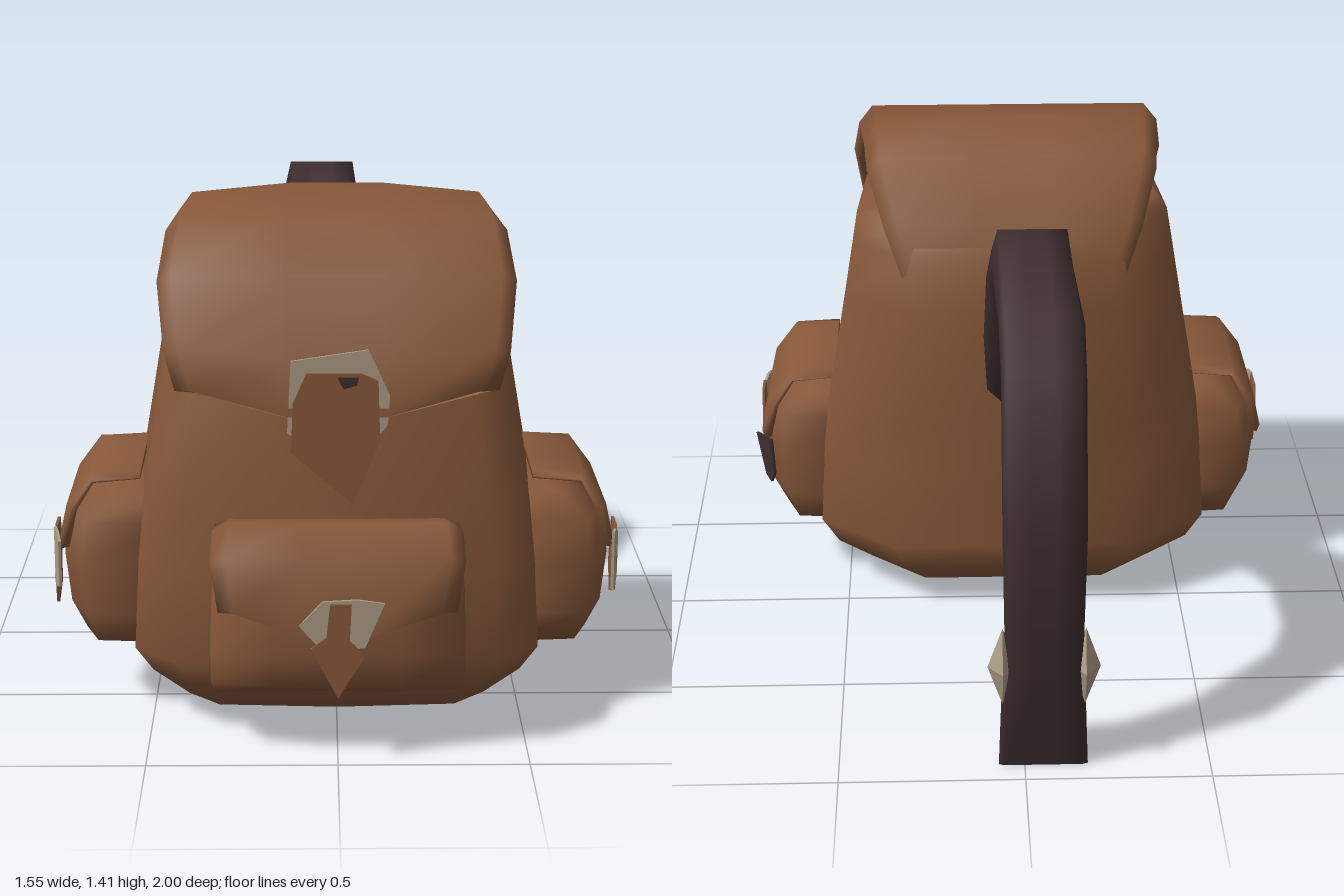
import * as THREE from 'three';

const mat = (name, color) => {
  const m = new THREE.MeshStandardMaterial({ color, side: THREE.DoubleSide });
  m.name = name;
  return m;
};

// Closed skin through rings of [x, y, z] points, with a fan at each end
function loft(rings) {
  const n = rings[0].length, pos = rings.flat(), idx = [];
  const mean = r => [0, 1, 2].map(k => r.reduce((s, p) => s + p[k], 0) / n);
  const last = rings.length - 1, c0 = pos.length, c1 = c0 + 1;
  const all = [...pos, mean(rings[0]), mean(rings[last])];
  for (let j = 0; j < n; j++) {
    const k = (j + 1) % n;
    for (let i = 0; i < last; i++) {
      const a = i * n + j, b = i * n + k;
      idx.push(a, b, b + n, a, b + n, a + n);
    }
    idx.push(c0, k, j, c1, last * n + j, last * n + k);
  }
  const g = new THREE.BufferGeometry();
  g.setAttribute('position', new THREE.Float32BufferAttribute(all.flat(), 3));
  g.setIndex(idx);
  g.computeVertexNormals();
  return g;
}

// Band swept along a side profile; stations give the outer line
function band(stations) {
  return loft(stations.map((s, i) => {
    const a = stations[Math.max(i - 1, 0)], b = stations[Math.min(i + 1, stations.length - 1)];
    const l = Math.hypot(b.z - a.z, b.y - a.y), tz = (b.z - a.z) / l, ty = (b.y - a.y) / l;
    const { w, t, cx = 0, sag = 0, crown = 0, bevel = 0.04 } = s;
    const pt = (x, depth, drop) => [cx + x, s.y - tz * depth + ty * drop, s.z + ty * depth + tz * drop];
    return [
      pt(w - bevel, 0, 0), pt(w * 0.3, -crown, sag), pt(-w * 0.3, -crown, sag), pt(bevel - w, 0, 0),
      pt(-w, t * 0.5, 0), pt(0.02 - w, t, 0), pt(-w * 0.3, t, sag), pt(w * 0.3, t, sag),
      pt(w - 0.02, t, 0), pt(w, t * 0.5, 0),
    ];
  }));
}

// Pouch standing out from a wall at local z = 0; rows are [y, half width, depth]
const pouch = rows => loft(rows.map(([y, w, d]) => [
  [-w - 0.02, y, -0.1], [-w, y, d * 0.75], [-w * 0.5, y, d], [w * 0.5, y, d], [w, y, d * 0.75], [w + 0.02, y, -0.1],
]));

// Thin flat plate
const plate = pts => new THREE.ExtrudeGeometry(
  new THREE.Shape(pts.map(p => new THREE.Vector2(...p))), { depth: 0.008, bevelEnabled: false });

export function createModel() {
  const root = new THREE.Group();
  root.name = 'backpack';
  const leather = mat('brown leather', 0x87583a);
  const dark = mat('dark strap', 0x3d2c2e);
  const metal = mat('pale buckle', 0xab9c85);
  const add = (name, geo, m, parent = root, p = [0, 0, 0], r = [0, 0, 0]) => {
    const mesh = new THREE.Mesh(geo, m);
    mesh.name = name;
    mesh.position.set(...p);
    mesh.rotation.set(...r);
    parent.add(mesh);
    return mesh;
  };

  // Main sack: [y, half width, back z, front z]
  const sack = [
    [0.008, 0.16, 0.12, 0.3], [0.045, 0.43, 0.04, 0.71], [0.13, 0.53, -0.05, 0.78],
    [0.2, 0.58, -0.05, 0.8], [0.45, 0.565, -0.05, 0.81], [0.6, 0.55, -0.05, 0.79],
    [0.95, 0.49, -0.05, 0.765], [1.1, 0.465, -0.015, 0.7], [1.19, 0.45, 0.03, 0.65], [1.23, 0.41, 0.1, 0.6],
  ];
  add('body', loft(sack.map(([y, w, b, f]) => {
    const d = f - b, zf = f - d * 0.16, zb = b + d * 0.22;
    return [[-w * 0.74, f - 0.02], [0, f], [w * 0.74, f - 0.02], [w * 0.94, zf], [w, zb],
      [w * 0.62, b], [0, b], [-w * 0.62, b], [-w, zb], [-w * 0.94, zf]].map(([x, z]) => [x, y, z]);
  })), leather);

  // Lid arching over the sack, flush at the back, hanging down the front
  add('lid', band([
    { z: -0.04, y: 0.96, w: 0.29, t: 0.02 },
    { z: 0.015, y: 1.19, w: 0.37, t: 0.06 },
    { z: 0.16, y: 1.355, w: 0.42, t: 0.13 },
    { z: 0.33, y: 1.39, w: 0.43, t: 0.11, crown: 0.025 },
    { z: 0.58, y: 1.375, w: 0.45, t: 0.1 },
    { z: 0.7, y: 1.24, w: 0.47, t: 0.1 },
    { z: 0.79, y: 1.06, w: 0.45, t: 0.08, sag: 0.03 },
    { z: 0.82, y: 0.96, w: 0.42, t: 0.05, sag: 0.07 },
  ]), leather);

  // Single shoulder strap, from its loose end up and over to the back
  add('strap', band([
    { z: -0.93, y: 0.0, w: 0.12, t: 0.01, cx: -0.05 },
    { z: -0.965, y: 0.27, w: 0.11, t: 0.11, cx: -0.05 },
    { z: -0.98, y: 0.42, w: 0.105, t: 0.08, cx: -0.05 },
    { z: -1.0, y: 0.73, w: 0.11, t: 0.09, cx: -0.05 },
    { z: -0.88, y: 1.12, w: 0.11, t: 0.1, cx: -0.05 },
    { z: -0.72, y: 1.23, w: 0.112, t: 0.1, cx: -0.05 },
    { z: -0.43, y: 1.35, w: 0.108, t: 0.2, cx: -0.035 },
    { z: -0.2, y: 1.2, w: 0.1, t: 0.16, cx: -0.015 },
    { z: -0.06, y: 0.93, w: 0.095, t: 0.13, cx: -0.005 },
    { z: -0.03, y: 0.72, w: 0.1, t: 0.06, cx: -0.02 },
    { z: -0.04, y: 0.55, w: 0.05, t: 0.02, cx: -0.14 },
  ].map(s => ({ ...s, bevel: 0.015 }))), dark);
  for (const x of [-0.16, 0.06]) {
    add('strapBuckle', new THREE.OctahedronGeometry(1), metal, root, [x, 0.31, -0.935])
      .scale.set(0.04, 0.115, 0.05);
  }

  // Lid clasp: pale plate, tongue and pin hole
  const clasp = new THREE.Group();
  clasp.name = 'lidClasp';
  clasp.position.set(0, 0.95, 0.826);
  root.add(clasp);
  add('claspPlate', plate([[-0.13, -0.1], [0.02, -0.2], [0.13, -0.08], [0.135, 0.0], [0.08, 0.12], [-0.12, 0.09]]), metal, clasp);
  const tongue = plate([[-0.12, -0.15], [0.04, -0.29], [0.11, -0.12], [0.105, 0.04], [0.06, 0.06], [-0.08, 0.06], [-0.115, -0.02]]);
  add('claspTongue', tongue, leather, clasp, [0, 0, 0.011]);
  add('pinHole', plate([[0, 0.05], [0.015, 0.02], [0.05, 0.03], [0.055, 0.05]]), dark, clasp, [0, 0, 0.015]);

  // Front pocket with its lid and clasp
  const front = new THREE.Group();
  front.name = 'frontPocket';
  front.position.z = 0.79;
  root.add(front);
  add('frontPocketBag', pouch([[0.13, 0.33, 0.02], [0.2, 0.33, 0.16], [0.28, 0.33, 0.175],
    [0.42, 0.325, 0.18], [0.54, 0.31, 0.15], [0.59, 0.29, 0.08]]), leather, front);
  add('frontPocketLid', band([
    { z: -0.02, y: 0.6, w: 0.32, t: 0.03 }, { z: 0.09, y: 0.62, w: 0.325, t: 0.04 },
    { z: 0.17, y: 0.55, w: 0.33, t: 0.05 }, { z: 0.192, y: 0.41, w: 0.31, t: 0.04, sag: 0.06 },
  ]), leather, front);
  add('frontBuckle', plate([[-0.1, 0.38], [-0.04, 0.31], [0.07, 0.32], [0.12, 0.44], [0.05, 0.45], [-0.04, 0.445]]), metal, front, [0, 0, 0.194]);
  add('frontTongue', plate([[-0.07, 0.32], [0, 0.185], [0.07, 0.3], [0.03, 0.34], [0.035, 0.44], [-0.02, 0.44], [-0.03, 0.35]]), leather, front, [0, 0, 0.202]);

  // Side pockets
  for (const s of [1, -1]) {
    const side = new THREE.Group();
    side.name = s > 0 ? 'leftPocket' : 'rightPocket';
    side.position.set(s * 0.53, 0, 0.385);
    side.rotation.y = s * Math.PI / 2;
    root.add(side);
    add('sidePocketBag', pouch([[0.2, 0.22, 0.16], [0.28, 0.23, 0.2], [0.42, 0.235, 0.215],
      [0.54, 0.225, 0.2], [0.615, 0.2, 0.1]]), leather, side);
    add('sidePocketLid', band([
      { z: 0.0, y: 0.675, w: 0.225, t: 0.02 }, { z: 0.135, y: 0.668, w: 0.23, t: 0.025 },
      { z: 0.2, y: 0.58, w: 0.235, t: 0.03 }, { z: 0.225, y: 0.47, w: 0.225, t: 0.03, sag: 0.04 },
    ]), leather, side);
    add('sideBuckle', plate([[-0.03, -0.09], [0.035, -0.07], [0.04, 0.06], [0.0, 0.08], [-0.035, 0.08]]), metal, side,
      [-s * 0.17, 0.42, 0.226], [0, -s * 0.25, 0]);
    add('sideTongue', plate([[-0.07, 0], [-0.04, -0.11], [0.04, -0.14], [0.065, -0.05], [0.03, 0.08], [-0.04, 0.08]]), leather, side,
      [-s * 0.09, 0.42, 0.232]);
    if (s > 0) {
      add('darkPatch', plate([[0.1, 0.43], [0.22, 0.455], [0.24, 0.35], [0.21, 0.31], [0.17, 0.32]]), dark, side,
        [0.01, 0, 0.285], [0, 0.43, 0]);
    }
  }
  return root;
}
